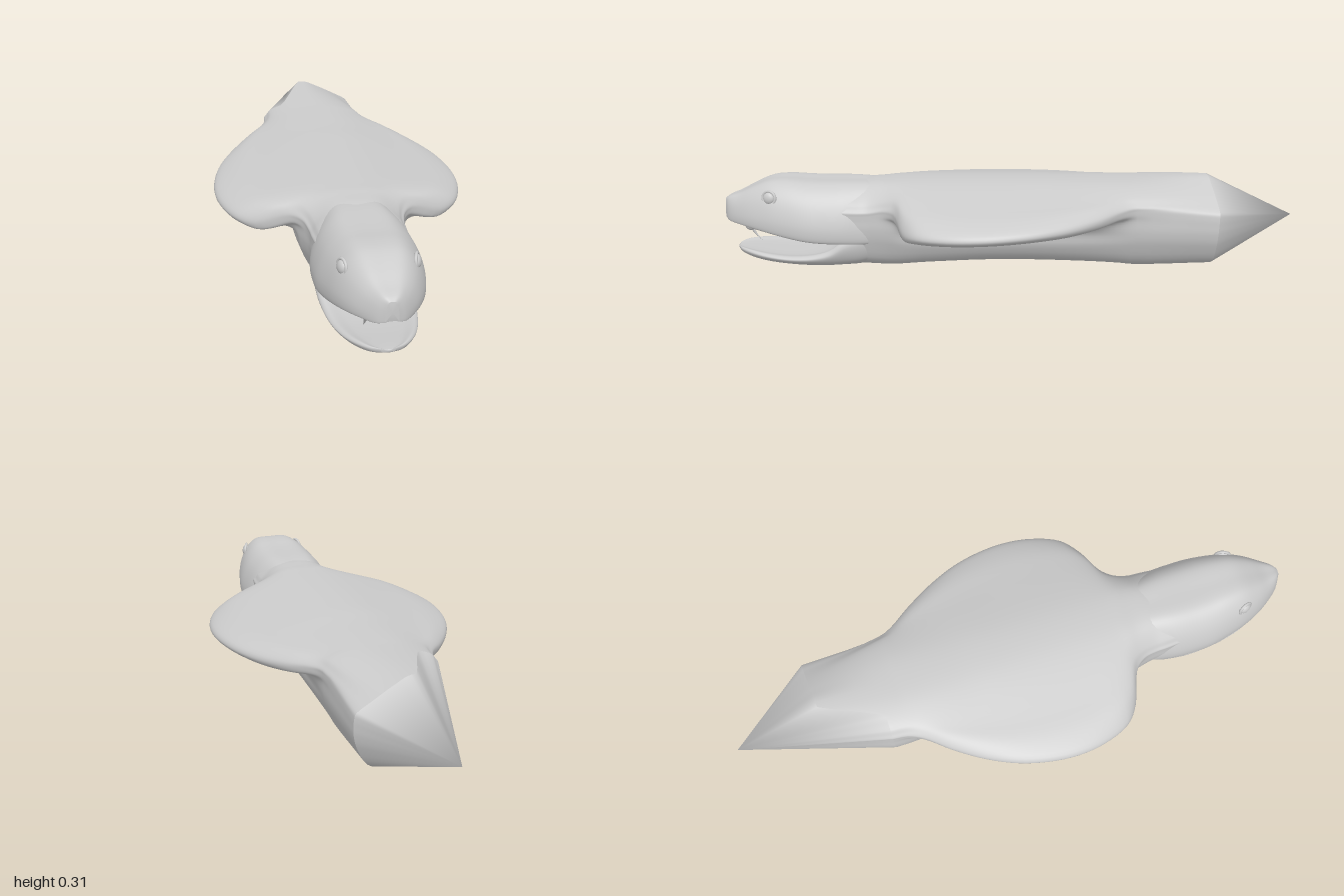
import * as THREE from 'three';

const SIDES = 96;
const material = new THREE.MeshStandardMaterial({ color: 0xcccccc, side: THREE.DoubleSide });

// Closed ring from a right-half outline [x, y], top centre to bottom centre, and its mirrored other half
function ring(half, zAt, otherHalf = half) {
  const mirrored = otherHalf.slice(1, -1).reverse().map(([x, y]) => [-x, y]);
  const pts = [...half, ...mirrored].map(([x, y]) => new THREE.Vector3(x, y, 0));
  const curve = new THREE.CatmullRomCurve3(pts, true);
  return Array.from({ length: SIDES }, (_, i) => {
    const p = curve.getPoint(i / SIDES);
    p.z = zAt(p);
    return p;
  });
}

// Smooth skin through rings ordered back to front; each end closes on its own apex
function loft(rings, backApex, frontApex, steps = 4) {
  const m = (rings.length - 1) * steps;
  const columns = Array.from({ length: SIDES }, (_, i) =>
    new THREE.CatmullRomCurve3(rings.map(r => r[i])).getPoints(m));
  const pos = [], index = [];
  const add = p => pos.push(p.x, p.y, p.z) / 3 - 1;
  for (let k = 0; k <= m; k++) columns.forEach(c => add(c[k]));
  for (let k = 0; k < m; k++) {
    for (let i = 0; i < SIDES; i++) {
      const a = k * SIDES + i, b = k * SIDES + (i + 1) % SIDES;
      index.push(a, a + SIDES, b, b, a + SIDES, b + SIDES);
    }
  }
  for (const [k, apex, front] of [[0, backApex, false], [m, frontApex, true]]) {
    const start = pos.length / 3;
    columns.forEach(c => add(c[k]));
    const tip = add(apex);
    for (let i = 0; i < SIDES; i++) {
      const a = start + i, b = start + (i + 1) % SIDES;
      index.push(tip, front ? b : a, front ? a : b);
    }
  }
  const g = new THREE.BufferGeometry();
  g.setAttribute('position', new THREE.Float32BufferAttribute(pos, 3));
  g.setIndex(index);
  g.computeVertexNormals();
  return g;
}

// Body section: round trunk (half-width bw) with a thin hood flap reaching out to w, raised by lift;
// the shoulders drop where the trunk narrows into the neck
function bodyHalf(bw, w, top, bottom, lift = 0) {
  const f = Math.max(0, w - bw), t = Math.min(1, f / 0.12), l = lift * t;
  const n = THREE.MathUtils.clamp((0.18 - bw) / 0.03, 0, 1);
  return [
    [0, top], [bw * 0.48, top - 0.006 - 0.004 * n], [bw * 0.87 + f * 0.4, 0.269 - f * 0.04 - 0.03 * n],
    [bw * 0.95 + f * 0.76, 0.252 - f * 0.06 - 0.032 * n + l * 0.5],
    [bw + f * 0.97, 0.24 - 0.028 * t - 0.03 * n + l],
    [bw + f, 0.23 - 0.036 * t - 0.03 * n + l], [bw + f * 0.88, 0.215 - 0.04 * t - 0.025 * n + l],
    [bw + f * 0.3, 0.195 - 0.018 * t - 0.015 * n + l * 0.5], [bw, 0.15],
    [bw * 0.94, 0.1], [bw * 0.7, bottom + 0.02], [0, bottom],
  ];
}

// Slanted rear edge: z along the rim by angle in degrees from the top towards +x
const RIM = [[-180, -0.53], [-150, -0.48], [-40, -0.48], [-8, -0.69],
  [70, -0.71], [136, -0.7], [180, -0.53]];
function rimZ(p) {
  const angle = THREE.MathUtils.radToDeg(Math.atan2(p.x, p.y - 0.155));
  const k = Math.max(1, RIM.findIndex(([a]) => a >= angle));
  const [[a0, z0], [a1, z1]] = [RIM[k - 1], RIM[k]];
  return THREE.MathUtils.mapLinear(angle, a0, a1, z0, z1);
}

// Roof-like left half of the rear edge: straight from the ridge down to a corner
const REAR_LEFT = [
  [0, 0.308], [0.05, 0.288], [0.1, 0.262], [0.14, 0.24], [0.165, 0.226], [0.179, 0.214],
  [0.183, 0.197], [0.184, 0.174], [0.183, 0.145], [0.172, 0.1], [0.127, 0.03], [0, 0.012],
];

// Upper head section with an arched palate
function headHalf(w, top, lip, arch) {
  const h = top - lip;
  return [
    [0, top], [w * 0.48, top - h * 0.03], [w * 0.8, top - h * 0.28], [w, lip + h * 0.25],
    [w * 0.97, lip], [w * 0.84, lip + arch * 0.3], [w * 0.5, lip + arch * 0.85], [0, lip + arch],
  ];
}

// Lower jaw section: a shallow dish
function jawHalf(w, rim, bottom) {
  const h = rim - bottom;
  return [
    [0, rim - h * 0.2], [w * 0.6, rim - h * 0.15], [w * 0.92, rim], [w, rim - h * 0.25],
    [w * 0.86, bottom + h * 0.25], [w * 0.5, bottom + h * 0.04], [0, bottom],
  ];
}

export function createModel() {
  const model = new THREE.Group();
  const put = (name, geometry, parent = model) => {
    const mesh = new THREE.Mesh(geometry, material);
    mesh.name = name;
    parent.add(mesh);
    return mesh;
  };

  // Trunk and hood: [z, trunk, hood, top, bottom]; the hood tilts down toward the front
  const stations = [
    [-0.43, 0.182, 0.188, 0.298, 0.004], [-0.38, 0.18, 0.21, 0.298, 0.008],
    [-0.3, 0.18, 0.272, 0.298, 0.013], [-0.2, 0.18, 0.336, 0.298, 0.017],
    [-0.1, 0.18, 0.382, 0.3, 0.02], [0, 0.18, 0.408, 0.3, 0.021],
    [0.1, 0.18, 0.417, 0.3, 0.02], [0.2, 0.18, 0.405, 0.3, 0.016],
    [0.3, 0.18, 0.365, 0.3, 0.011], [0.35, 0.178, 0.305, 0.3, 0.007],
    [0.39, 0.174, 0.2, 0.3, 0.004], [0.43, 0.163, 0.165, 0.298, 0.002],
    [0.48, 0.152, 0.152, 0.296, 0.002], [0.52, 0.15, 0.15, 0.291, 0.005],
    [0.57, 0.146, 0.146, 0.282, 0.014],
  ];
  const rear = ring(REAR_LEFT, rimZ, bodyHalf(0.182, 0.182, 0.3, 0.012));
  const bodyRings = stations.map(([z, ...s]) => ring(bodyHalf(...s, -0.035 * z), () => z));
  put('hoodedBody', loft([rear, ...bodyRings],
    new THREE.Vector3(-0.03, 0.155, -1), new THREE.Vector3(0, 0.12, 0.56)));

  // Upper head: [z, half-width, top, lip, palate arch]
  const head = [
    [0.42, 0.134, 0.28, 0.1, 0.01], [0.47, 0.143, 0.291, 0.1, 0.01],
    [0.52, 0.153, 0.295, 0.1, 0.012], [0.57, 0.162, 0.296, 0.103, 0.02],
    [0.64, 0.165, 0.296, 0.106, 0.032], [0.7, 0.163, 0.298, 0.112, 0.036],
    [0.77, 0.15, 0.303, 0.124, 0.034], [0.83, 0.134, 0.299, 0.136, 0.027],
    [0.89, 0.109, 0.276, 0.146, 0.016], [0.94, 0.078, 0.251, 0.152, 0.008],
    [0.98, 0.045, 0.236, 0.156, 0.004], [0.995, 0.02, 0.226, 0.163, 0.003],
  ].map(([z, ...s]) => ring(headHalf(...s), () => z));
  put('upperHead', loft(head, new THREE.Vector3(0, 0.2, 0.41), new THREE.Vector3(0, 0.195, 1)));

  // Lower jaw: [z, half-width, rim, bottom]
  const jaw = [
    [0.47, 0.13, 0.13, 0.012], [0.52, 0.145, 0.125, 0.003], [0.57, 0.151, 0.108, 0.002],
    [0.62, 0.149, 0.072, 0.004], [0.68, 0.143, 0.053, 0.006], [0.76, 0.132, 0.046, 0.01],
    [0.84, 0.112, 0.05, 0.016], [0.9, 0.085, 0.056, 0.025], [0.94, 0.053, 0.058, 0.036],
    [0.957, 0.022, 0.057, 0.044],
  ].map(([z, ...s]) => ring(jawHalf(...s), () => z));
  put('lowerJaw', loft(jaw, new THREE.Vector3(0, 0.07, 0.46), new THREE.Vector3(0, 0.051, 0.962)));

  // Fang: cone swept backward toward its point
  const fangGeometry = new THREE.ConeGeometry(0.011, 0.08, 12, 10);
  fangGeometry.rotateX(Math.PI);
  const p = fangGeometry.attributes.position;
  for (let i = 0; i < p.count; i++) {
    const t = (0.04 - p.getY(i)) / 0.08;
    p.setZ(i, p.getZ(i) - 0.045 * t * t);
  }
  fangGeometry.computeVertexNormals();

  // Eyes with lids, fangs and gum sheaths on both sides
  for (const s of [-1, 1]) {
    const side = s > 0 ? 'left' : 'right';
    const eye = new THREE.Group();
    eye.name = side + 'EyeSocket';
    eye.position.set(s * 0.109, 0.253, 0.822);
    eye.rotation.set(-0.35, s * 1.2, 0);
    model.add(eye);
    put(side + 'Eye', new THREE.SphereGeometry(0.021, 24, 16), eye).scale.z = 0.6;
    put(side + 'Eyelid', new THREE.TorusGeometry(0.024, 0.005, 10, 28), eye);

    put(side + 'Fang', fangGeometry).position.set(s * 0.054, 0.122, 0.905);
    const gum = put(side + 'FangSheath', new THREE.SphereGeometry(0.015, 18, 12));
    gum.position.set(s * 0.054, 0.145, 0.902);
    gum.scale.set(1, 1.5, 1.4);
  }
  return model;
}
